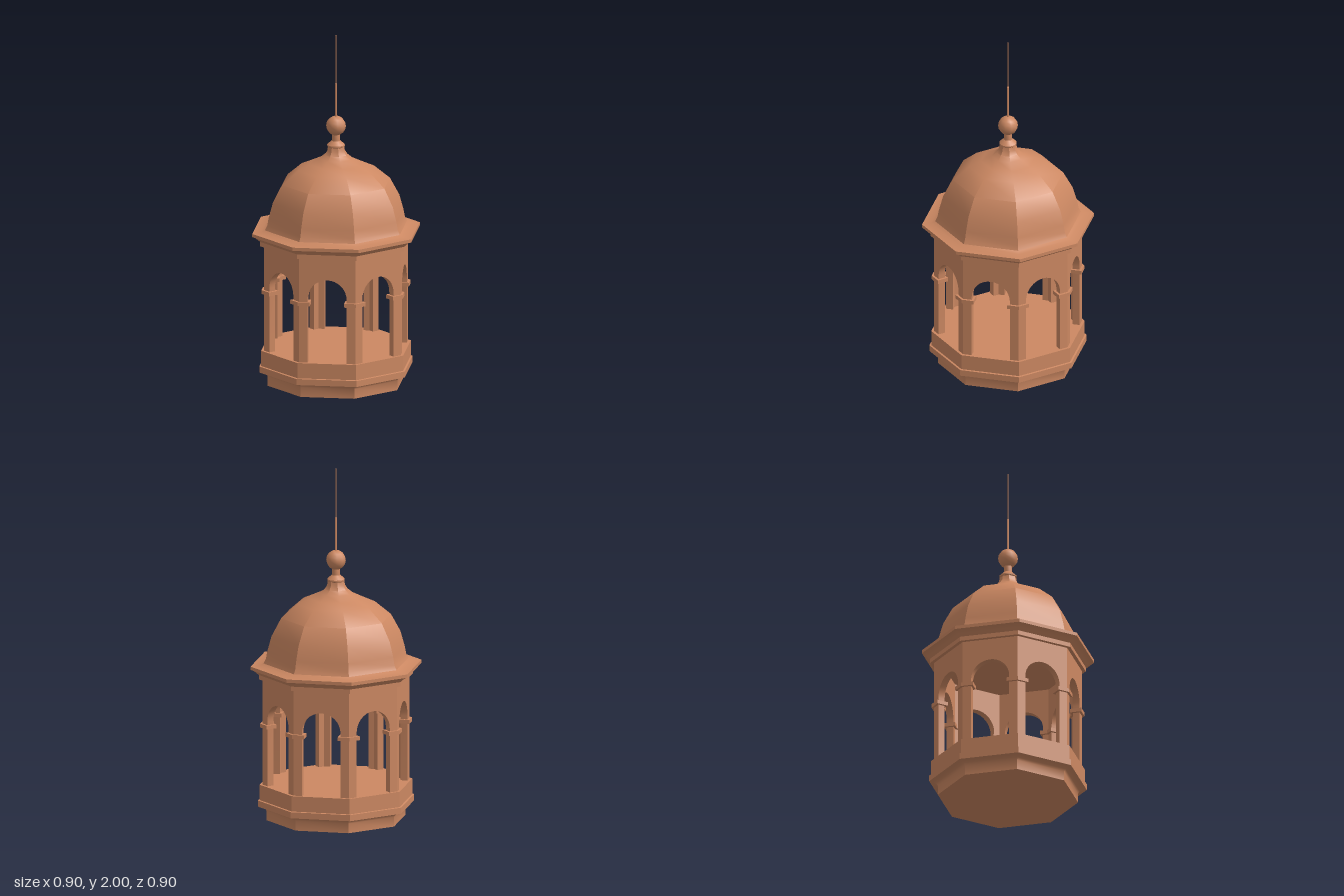
import * as THREE from 'three';
import { toCreasedNormals } from 'three/addons/utils/BufferGeometryUtils.js';

const material = new THREE.MeshStandardMaterial({ color: 0xcc8862 });
const SIDES = 8;
const STEP = Math.PI / 4;
const TAN = Math.tan(STEP / 2);
const COS = Math.cos(STEP / 2);

// wall dimensions: apothem, thickness, opening half-width
const WALL = 0.385, THICK = 0.04, OPEN = 0.11;
const FLOOR = 0.205, CEILING = 0.81, SPRING = 0.575;

function mesh(name, geometry, crease = 0.6) {
  const m = new THREE.Mesh(toCreasedNormals(geometry, crease), material);
  m.name = name;
  return m;
}

// eight-sided turned part; the profile lists [apothem, y] from bottom to top
function octagon(name, profile) {
  const points = profile.map(([a, y]) => new THREE.Vector2(a / COS, y));
  return mesh(name, new THREE.LatheGeometry(points, SIDES, STEP / 2));
}

// round turned part; the profile lists [radius, y] from bottom to top
function turned(name, profile, sides) {
  const points = profile.map(([r, y]) => new THREE.Vector2(r, y));
  return mesh(name, new THREE.LatheGeometry(points, sides), 0.75);
}

// one wall side: two legs joined by a round arch, mitred at the corners
function archGeometry() {
  const half = WALL * TAN;
  const shape = new THREE.Shape();
  shape.moveTo(-half, FLOOR);
  shape.lineTo(-OPEN, FLOOR);
  shape.lineTo(-OPEN, SPRING);
  shape.absarc(0, SPRING, OPEN, Math.PI, 0, true);
  shape.lineTo(OPEN, FLOOR);
  shape.lineTo(half, FLOOR);
  shape.lineTo(half, CEILING);
  shape.lineTo(-half, CEILING);
  const g = new THREE.ExtrudeGeometry(shape, { depth: THICK, bevelEnabled: false, curveSegments: 8 });
  g.translate(0, 0, WALL - THICK);
  const p = g.attributes.position;
  for (let i = 0; i < p.count; i++) {
    const x = p.getX(i);
    if (Math.abs(x) > half - 0.001) p.setX(i, Math.sign(x) * p.getZ(i) * TAN);
  }
  return g;
}

// band folded around a corner pier, a little proud of it on every side
function capitalGeometry() {
  const proud = 0.013, outer = WALL + proud, inner = WALL - THICK - proud, end = OPEN - proud;
  const mirror = ([x, z]) => [(z - x) * Math.SQRT1_2, (z + x) * Math.SQRT1_2];
  const footprint = [
    [end, outer], [outer * TAN, outer], mirror([end, outer]),
    mirror([end, inner]), [inner * TAN, inner], [end, inner],
  ];
  const shape = new THREE.Shape(footprint.map(([x, z]) => new THREE.Vector2(x, -z)));
  const g = new THREE.ExtrudeGeometry(shape, { depth: 0.022, bevelEnabled: false });
  return g.rotateX(-Math.PI / 2).translate(0, 0.534, 0);
}

export function createModel() {
  const model = new THREE.Group();
  model.name = 'cupola';

  // moulded base with the floor on top
  model.add(octagon('base', [
    [0, 0], [0.365, 0], [0.365, 0.055], [0.373, 0.068], [0.388, 0.078],
    [0.41, 0.08], [0.41, 0.115], [0.4, 0.117], [0.4, FLOOR], [0, FLOOR],
  ]));

  // arcade of eight arches and eight pier capitals
  const arcade = new THREE.Group();
  arcade.name = 'arcade';
  const arch = mesh('arch', archGeometry());
  const capital = mesh('capital', capitalGeometry());
  for (let i = 0; i < SIDES; i++) {
    for (const part of [arch, capital]) {
      const copy = part.clone();
      copy.rotation.y = i * STEP;
      arcade.add(copy);
    }
  }
  model.add(arcade);

  // cornice, closed below by the ceiling
  model.add(octagon('cornice', [
    [0, CEILING], [0.405, CEILING], [0.405, 0.835], [0.418, 0.847],
    [0.432, 0.86], [0.448, 0.866], [0.448, 0.885], [0.39, 0.887],
  ]));

  // bell-shaped dome
  model.add(octagon('dome', [
    [0.448, 0.885], [0.4, 0.889], [0.38, 0.9], [0.368, 0.925], [0.36, 0.97], [0.338, 1.055],
    [0.288, 1.155], [0.203, 1.232], [0.14, 1.262], [0.085, 1.29], [0.06, 1.312],
    [0.047, 1.335], [0.043, 1.36], [0, 1.36],
  ]));

  // finial: collar, neck, ball and spire
  model.add(turned('collar', [
    [0, 1.35], [0.038, 1.35], [0.05, 1.361], [0.05, 1.369],
    [0.036, 1.382], [0.024, 1.392], [0.022, 1.44], [0, 1.44],
  ], 12));
  const ball = mesh('ball', new THREE.SphereGeometry(0.056, 10, 8), 1);
  ball.position.y = 1.478;
  model.add(ball);
  model.add(turned('spire', [
    [0.007, 1.52], [0.007, 1.72], [0.004, 1.722], [0.003, 2], [0, 2],
  ], 8));

  return model;
}
